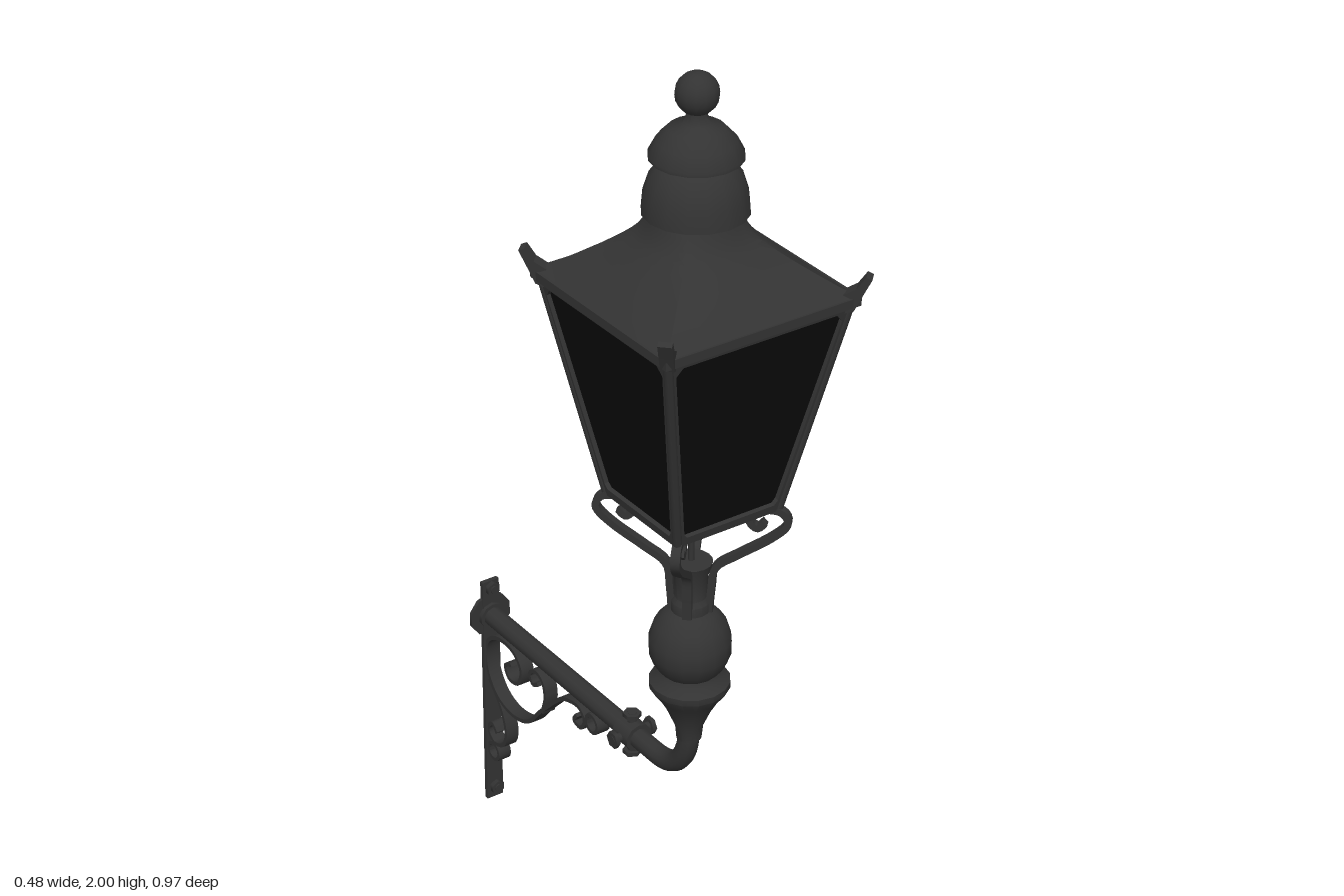
import * as THREE from 'three';
import { toCreasedNormals } from 'three/addons/utils/BufferGeometryUtils.js';
import { ParametricGeometry } from 'three/addons/geometries/ParametricGeometry.js';

const LANTERN_Z = 0.25;

export function createModel() {
  const metal = new THREE.MeshStandardMaterial({ color: 0x333333 });
  metal.name = 'dark iron';
  const glass = new THREE.MeshStandardMaterial({ color: 0x0a0a0a, side: THREE.DoubleSide });
  glass.name = 'black glass';

  const root = new THREE.Group();
  root.name = 'wallLantern';
  const lantern = new THREE.Group();
  lantern.name = 'lantern';
  lantern.position.z = LANTERN_Z;
  const bracket = new THREE.Group();
  bracket.name = 'wallBracket';
  root.add(lantern, bracket);

  function add(parent, name, geometry, material = metal, x = 0, y = 0, z = 0) {
    const mesh = new THREE.Mesh(geometry, material);
    mesh.name = name;
    mesh.position.set(x, y, z);
    parent.add(mesh);
    return mesh;
  }
  const vectors = (pts) => pts.map(([x, y]) => new THREE.Vector2(x, y));
  const lathe = (pts, sides = 16) =>
    toCreasedNormals(new THREE.LatheGeometry(vectors(pts), sides), 0.7);

  // Flat iron strap following a curve in the XY plane
  function strap(pts, width, thick = 0.009) {
    const curve = new THREE.SplineCurve(vectors(pts));
    const n = pts.length * 4;
    const left = [], right = [];
    for (let i = 0; i <= n; i++) {
      const p = curve.getPoint(i / n), t = curve.getTangent(i / n);
      const dx = -t.y * thick / 2, dy = t.x * thick / 2;
      left.push(new THREE.Vector2(p.x + dx, p.y + dy));
      right.unshift(new THREE.Vector2(p.x - dx, p.y - dy));
    }
    const geo = new THREE.ExtrudeGeometry(new THREE.Shape([...left, ...right]),
      { depth: width, bevelEnabled: false });
    return toCreasedNormals(geo.translate(0, 0, -width / 2), 0.7);
  }
  function rod(parent, name, a, b, radius, sides = 8) {
    const from = new THREE.Vector3(...a), to = new THREE.Vector3(...b);
    const dir = to.clone().sub(from);
    const mesh = add(parent, name, new THREE.CylinderGeometry(radius, radius, dir.length(), sides));
    mesh.position.copy(from).add(to).multiplyScalar(0.5);
    mesh.quaternion.setFromUnitVectors(new THREE.Vector3(0, 1, 0), dir.normalize());
    return mesh;
  }

  // Finial and two stacked vent domes
  add(lantern, 'finialBall', new THREE.SphereGeometry(0.041, 14, 10), metal, 0, 1.959, 0);
  add(lantern, 'ventDomes', lathe([
    [0, 1.71], [0.08, 1.71], [0.08, 1.728], [0.1, 1.73], [0.097, 1.765], [0.086, 1.8], [0.068, 1.825],
    [0.05, 1.835], [0.088, 1.836], [0.088, 1.843], [0.074, 1.87], [0.052, 1.893], [0.028, 1.903],
    [0.02, 1.915], [0.02, 1.93], [0, 1.935],
  ]));

  // Concave roof blending from a square eave to a round neck
  const half = new THREE.SplineCurve(vectors([
    [0.213, 1.582], [0.168, 1.622], [0.12, 1.665], [0.095, 1.695], [0.082, 1.73],
  ]));
  const roof = new ParametricGeometry((u, v, target) => {
    const a = u * Math.PI * 2, p = half.getPoint(v);
    const c = Math.cos(a), s = Math.sin(a);
    const square = 1 / Math.max(Math.abs(c), Math.abs(s));
    const r = p.x * THREE.MathUtils.lerp(square, 1, v);
    target.set(r * c, p.y, -r * s);
  }, 32, 8);
  add(lantern, 'roof', toCreasedNormals(roof, 0.6));
  add(lantern, 'eave', new THREE.BoxGeometry(0.43, 0.018, 0.43), metal, 0, 1.575, 0);

  // Tapered glass box with a glass floor
  const pane = new THREE.CylinderGeometry(0.198 * Math.SQRT2, 0.112 * Math.SQRT2, 0.44, 4, 1, true)
    .rotateY(Math.PI / 4).toNonIndexed();
  pane.computeVertexNormals();
  add(lantern, 'glassPanes', pane, glass, 0, 1.347, 0);
  add(lantern, 'glassFloor', new THREE.BoxGeometry(0.224, 0.006, 0.224), glass, 0, 1.132, 0);

  // Trapezoid side frame with a chamfered opening
  const frameShape = new THREE.Shape(vectors([[-0.12, 0], [0.12, 0], [0.207, 0.458], [-0.207, 0.458]]));
  frameShape.holes.push(new THREE.Path(vectors([
    [-0.1, 0.018], [-0.107, 0.028], [-0.183, 0.425], [-0.17, 0.442],
    [0.17, 0.442], [0.183, 0.425], [0.107, 0.028], [0.1, 0.018],
  ])));
  const frameGeo = new THREE.ExtrudeGeometry(frameShape, { depth: 0.012, bevelEnabled: false })
    .translate(0, 0, -0.012).rotateX(Math.atan2(0.087, 0.45)).translate(0, 1.12, 0.12);

  // Upturned roof corner horn
  const hornGeo = new THREE.ExtrudeGeometry(new THREE.Shape(vectors([
    [0.265, 1.55], [0.292, 1.56], [0.307, 1.592], [0.323, 1.625], [0.312, 1.63], [0.295, 1.605], [0.27, 1.59],
  ])), { depth: 0.026, bevelEnabled: false }).translate(0, 0, -0.013);

  // Scrolled arm carrying a lantern corner
  const armGeo = strap([
    [0.036, 0.88], [0.04, 0.93], [0.048, 0.98], [0.09, 1.013], [0.15, 1.055], [0.183, 1.09], [0.17, 1.117],
    [0.13, 1.117], [0.11, 1.095], [0.125, 1.077], [0.14, 1.09],
  ], 0.018, 0.014);

  for (let i = 0; i < 4; i++) {
    const side = new THREE.Group();
    side.name = 'lanternSide' + (i + 1);
    side.rotation.y = i * Math.PI / 2;
    lantern.add(side);
    add(side, 'sideFrame', frameGeo);
    rod(side, 'cornerPost', [0.115, 1.12, 0.115], [0.201, 1.57, 0.201], 0.009);
    rod(side, 'floorRail', [-0.115, 1.127, 0.112], [0.115, 1.127, 0.112], 0.009, 6);
    add(side, 'roofHorn', hornGeo).rotation.y = Math.PI / 4;
    add(side, 'scrollArm', armGeo).rotation.y = Math.PI / 4;
  }
  rod(lantern, 'gasRod', [0, 0.97, 0], [0, 1.135, 0], 0.006);

  // Turned stem: funnel, ring, ball and collar
  add(lantern, 'stem', lathe([
    [0, 0.58], [0.025, 0.58], [0.028, 0.61], [0.045, 0.65], [0.062, 0.68], [0.08, 0.705], [0.08, 0.718],
    [0.062, 0.732], [0.058, 0.742], [0.072, 0.76], [0.081, 0.785], [0.081, 0.815], [0.07, 0.85],
    [0.05, 0.873], [0.038, 0.88], [0.038, 0.9], [0.031, 0.91], [0.034, 0.96], [0.042, 0.988], [0, 0.99],
  ]));

  // Bent support pipe
  const bend = new THREE.CurvePath();
  const at = (z, y) => new THREE.Vector3(0, y, z);
  bend.add(new THREE.LineCurve3(at(0.25, 0.63), at(0.25, 0.585)));
  bend.add(new THREE.CubicBezierCurve3(at(0.25, 0.585), at(0.245, 0.525), at(0.21, 0.475), at(0.14, 0.475)));
  bend.add(new THREE.LineCurve3(at(0.14, 0.475), at(-0.475, 0.475)));
  add(bracket, 'pipe', new THREE.TubeGeometry(bend, 60, 0.022, 10));

  // Bolted pipe coupling
  rod(bracket, 'coupling', [0, 0.475, 0.03], [0, 0.475, 0.08], 0.031, 10);
  for (let i = 0; i < 4; i++) {
    const c = Math.round(Math.cos(i * Math.PI / 2)), s = Math.round(Math.sin(i * Math.PI / 2));
    const out = (r) => [r * c, 0.475 + r * s, 0.055];
    rod(bracket, 'couplingBolt', out(0.02), out(0.05), 0.01);
    rod(bracket, 'couplingBoltHead', out(0.04), out(0.049), 0.019, 6);
  }

  // Wall plate, flange and fixing bolts
  add(bracket, 'wallPlate', new THREE.BoxGeometry(0.04, 0.56, 0.01), metal, 0, 0.28, -0.473);
  rod(bracket, 'wallFlange', [0, 0.475, -0.478], [0, 0.475, -0.47], 0.05, 10);
  rod(bracket, 'pipeCollar', [0, 0.475, -0.472], [0, 0.475, -0.46], 0.03, 10);
  for (const y of [0.03, 0.545]) {
    rod(bracket, 'wallBolt', [0, y, -0.472], [0, y, -0.452], 0.009);
    rod(bracket, 'wallBoltHead', [0, y, -0.465], [0, y, -0.455], 0.016, 6);
  }

  // Ornamental scrollwork under the pipe, drawn as (z, y)
  const scrolls = {
    mainScroll: [
      [-0.125, 0.418], [-0.135, 0.4], [-0.11, 0.396], [-0.096, 0.42], [-0.115, 0.442], [-0.15, 0.44],
      [-0.19, 0.42], [-0.26, 0.35], [-0.31, 0.295], [-0.375, 0.277], [-0.435, 0.298], [-0.469, 0.355],
      [-0.463, 0.415], [-0.42, 0.445], [-0.365, 0.443], [-0.335, 0.412], [-0.345, 0.373], [-0.38, 0.365],
      [-0.395, 0.39], [-0.372, 0.405],
    ],
    innerScroll: [
      [-0.255, 0.35], [-0.243, 0.39], [-0.25, 0.425], [-0.275, 0.44], [-0.3, 0.425], [-0.29, 0.403], [-0.27, 0.412],
    ],
    lowerScroll: [
      [-0.46, 0.32], [-0.42, 0.275], [-0.398, 0.22], [-0.408, 0.178], [-0.445, 0.162], [-0.468, 0.185],
      [-0.452, 0.208], [-0.435, 0.192],
    ],
  };
  for (const [name, pts] of Object.entries(scrolls))
    add(bracket, name, strap(pts, 0.03).rotateY(-Math.PI / 2));
  for (const [z, y] of [[-0.07, 0.428], [-0.449, 0.137]]) {
    const ring = lathe([[0.016, -0.015], [0.024, -0.015], [0.024, 0.015], [0.016, 0.015], [0.016, -0.015]], 14);
    add(bracket, 'scrollRing', ring.rotateZ(Math.PI / 2), metal, 0, y, z);
  }
  return root;
}
